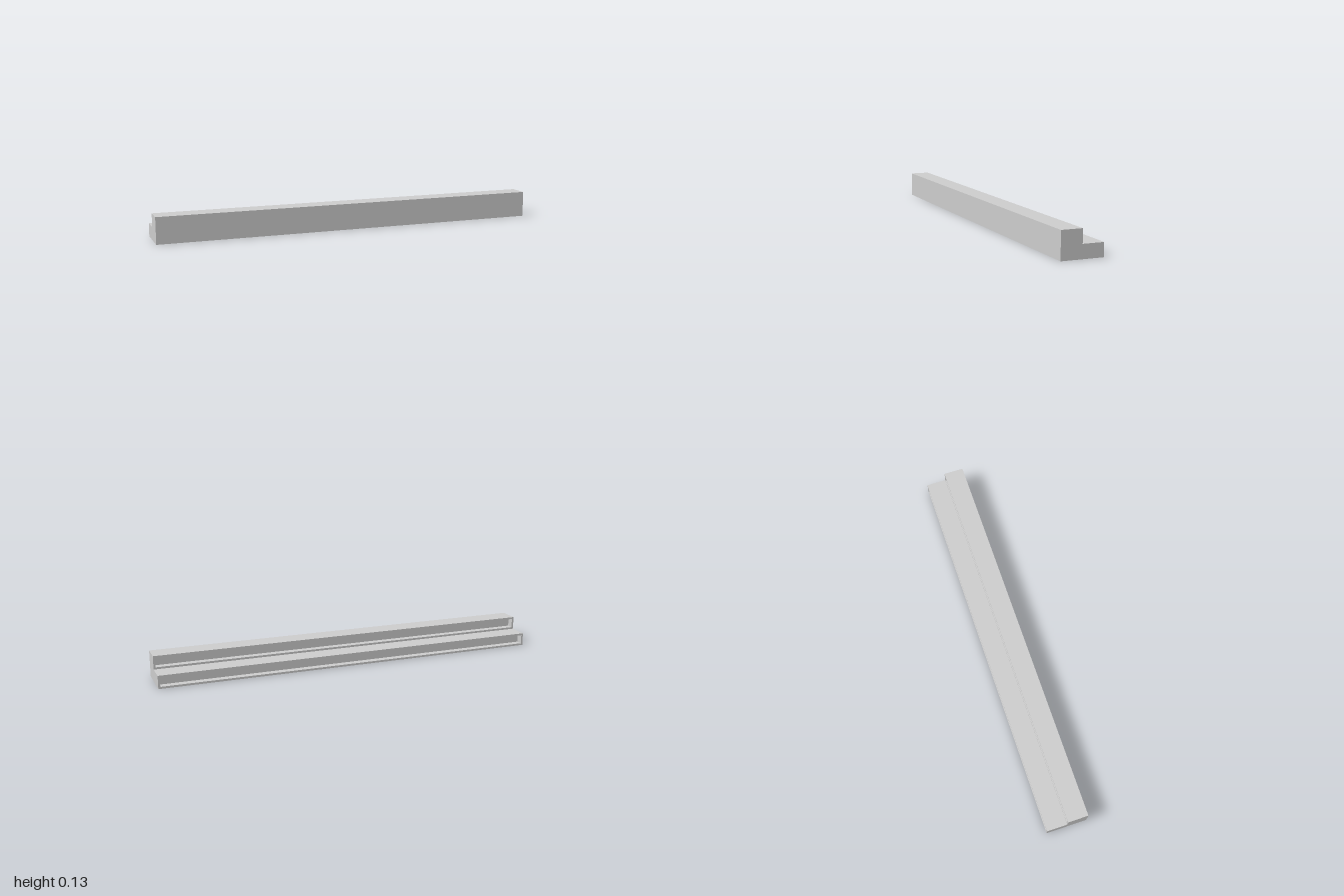
import * as THREE from 'three';

const HALF = 0.103;   // half depth
const STEP = 0.066;   // height of one tier
const TOP = 0.133;    // full height
const WALL = 0.01;    // rim around each recess
const RECESS = 0.035; // depth of each recess

// Extrudes a side profile of [z, y] points along x.
function extrudeAlongX(name, points, x0, x1, material) {
  const shape = new THREE.Shape(points.map(([z, y]) => new THREE.Vector2(-z, y)));
  const geometry = new THREE.ExtrudeGeometry(shape, { depth: x1 - x0, bevelEnabled: false });
  geometry.rotateY(Math.PI / 2);
  geometry.translate(x0, 0, 0);
  const mesh = new THREE.Mesh(geometry, material);
  mesh.name = name;
  return mesh;
}

// Corners of a notch cut into a rear riser, from bottom to top.
function notch(z, y0, y1) {
  const a = y0 + WALL, b = y1 - WALL;
  return [[z, a], [z + RECESS, a], [z + RECESS, b], [z, b]];
}

export function createModel() {
  const model = new THREE.Group();
  model.name = 'steppedBench';
  const material = new THREE.MeshStandardMaterial({ color: 0xcccccc });

  // Two-tier body with a long recess in each rear riser
  const body = [
    [HALF, 0], [-HALF, 0],
    ...notch(-HALF, 0, STEP),
    [-HALF, STEP], [0, STEP],
    ...notch(0, STEP, TOP),
    [0, TOP], [HALF, TOP],
  ];
  model.add(extrudeAlongX('body', body, -1 + WALL, 1 - WALL, material));

  // Solid end plates that close the recesses
  const end = [[HALF, 0], [-HALF, 0], [-HALF, STEP], [0, STEP], [0, TOP], [HALF, TOP]];
  model.add(extrudeAlongX('rightEndPlate', end, -1, -1 + WALL, material));
  model.add(extrudeAlongX('leftEndPlate', end, 1 - WALL, 1, material));

  return model;
}
